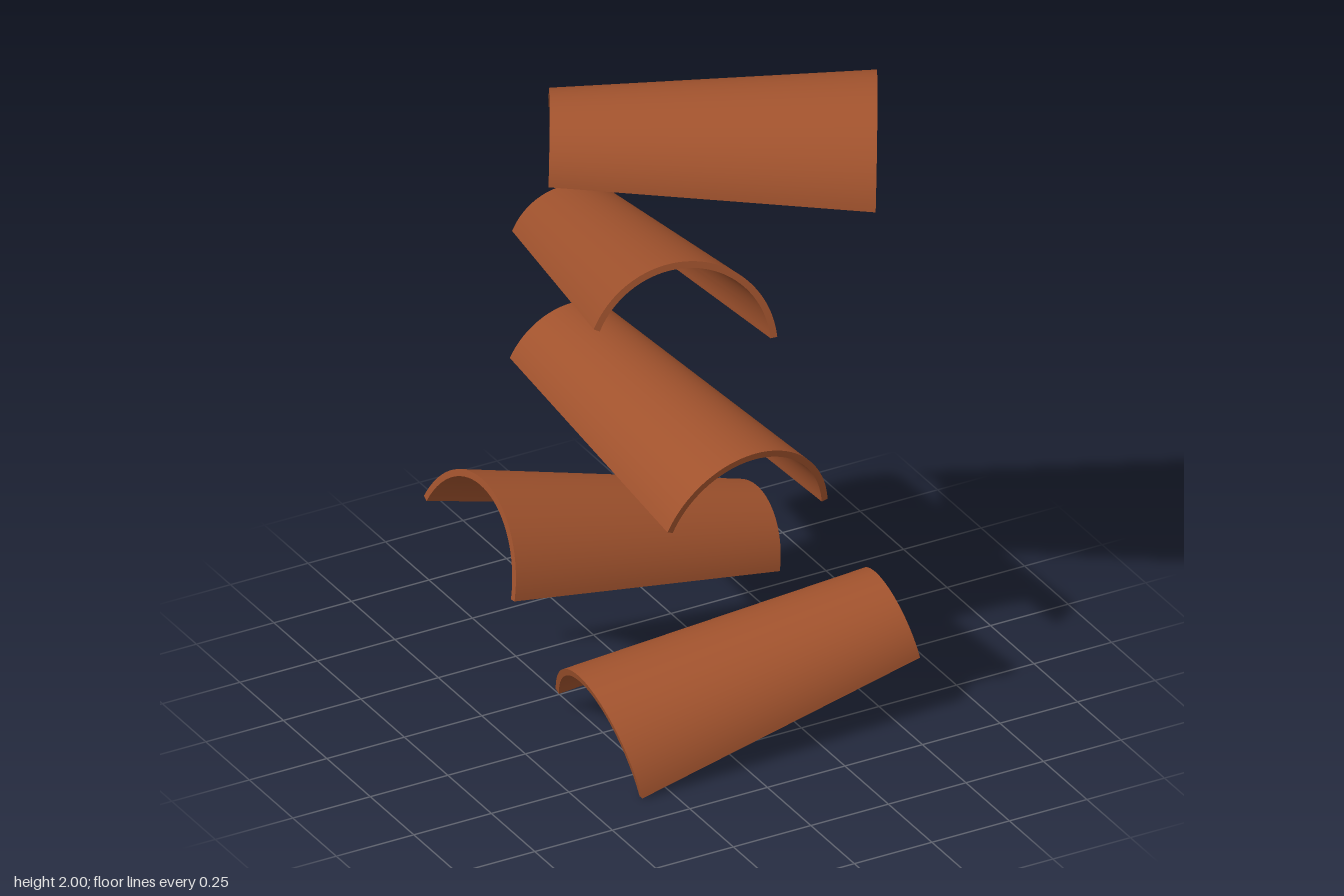
import * as THREE from 'three';
import { toCreasedNormals } from 'three/addons/utils/BufferGeometryUtils.js';

const HALF_ANGLE = THREE.MathUtils.degToRad(75);
const LENGTH = 0.92, WIDE_R = 0.287, NARROW_R = 0.2, THICKNESS = 0.02;

// Tapered barrel tile: wide end at z = 0, narrow end at z = LENGTH, bottom edges on y = 0
function tileGeometry() {
  const shape = new THREE.Shape();
  const a0 = Math.PI / 2 - HALF_ANGLE, a1 = Math.PI / 2 + HALF_ANGLE;
  shape.absarc(0, 0, WIDE_R, a0, a1, false);
  shape.absarc(0, 0, WIDE_R - THICKNESS, a1, a0, true);
  const geo = new THREE.ExtrudeGeometry(shape, { depth: LENGTH, bevelEnabled: false, curveSegments: 24 });
  const p = geo.attributes.position;
  for (let i = 0; i < p.count; i++) {
    const x = p.getX(i), y = p.getY(i), z = p.getZ(i);
    const outer = THREE.MathUtils.lerp(WIDE_R, NARROW_R, z / LENGTH);
    const r = Math.hypot(x, y), k = (r + outer - WIDE_R) / r;
    p.setXYZ(i, x * k, y * k - outer * Math.cos(HALF_ANGLE), z);
  }
  return toCreasedNormals(geo, 0.5);
}

// Each tile: middle of wide end, middle of narrow end, direction across the wide end
const TILES = [
  { wide: [-0.326, 0.043, 0.113], narrow: [0.574, 0.233, 0.186], across: [0.031, 0.077, -0.544] },
  { wide: [-0.629, 0.655, -0.093], narrow: [0.268, 0.455, -0.09], across: [0.018, 0.065, -0.548] },
  { wide: [-0.073, 0.908, 0.516], narrow: [-0.15, 1.029, -0.393], across: [-0.544, 0.069, 0.058] },
  { wide: [-0.198, 1.466, 0.382], narrow: [-0.05, 1.307, -0.509], across: [0.535, -0.117, 0.113] },
  { wide: [0.501, 1.786, 0.228], narrow: [-0.304, 1.81, -0.217], across: [0.262, 0.089, -0.48] },
];

export function createModel() {
  const group = new THREE.Group();
  group.name = 'roofTiles';
  const terracotta = new THREE.MeshStandardMaterial({ color: 0xa0522d });
  terracotta.name = 'terracotta';
  const geo = tileGeometry();

  TILES.forEach(({ wide, narrow, across }, i) => {
    const start = new THREE.Vector3(...wide), end = new THREE.Vector3(...narrow);
    const zAxis = end.clone().sub(start).normalize();
    const yAxis = zAxis.clone().cross(new THREE.Vector3(...across)).normalize();
    if (yAxis.y < 0) yAxis.negate();
    const xAxis = yAxis.clone().cross(zAxis);
    const tile = new THREE.Mesh(geo, terracotta);
    tile.name = `roofTile${i + 1}`;
    tile.quaternion.setFromRotationMatrix(new THREE.Matrix4().makeBasis(xAxis, yAxis, zAxis));
    tile.position.copy(start);
    group.add(tile);
  });
  return group;
}
